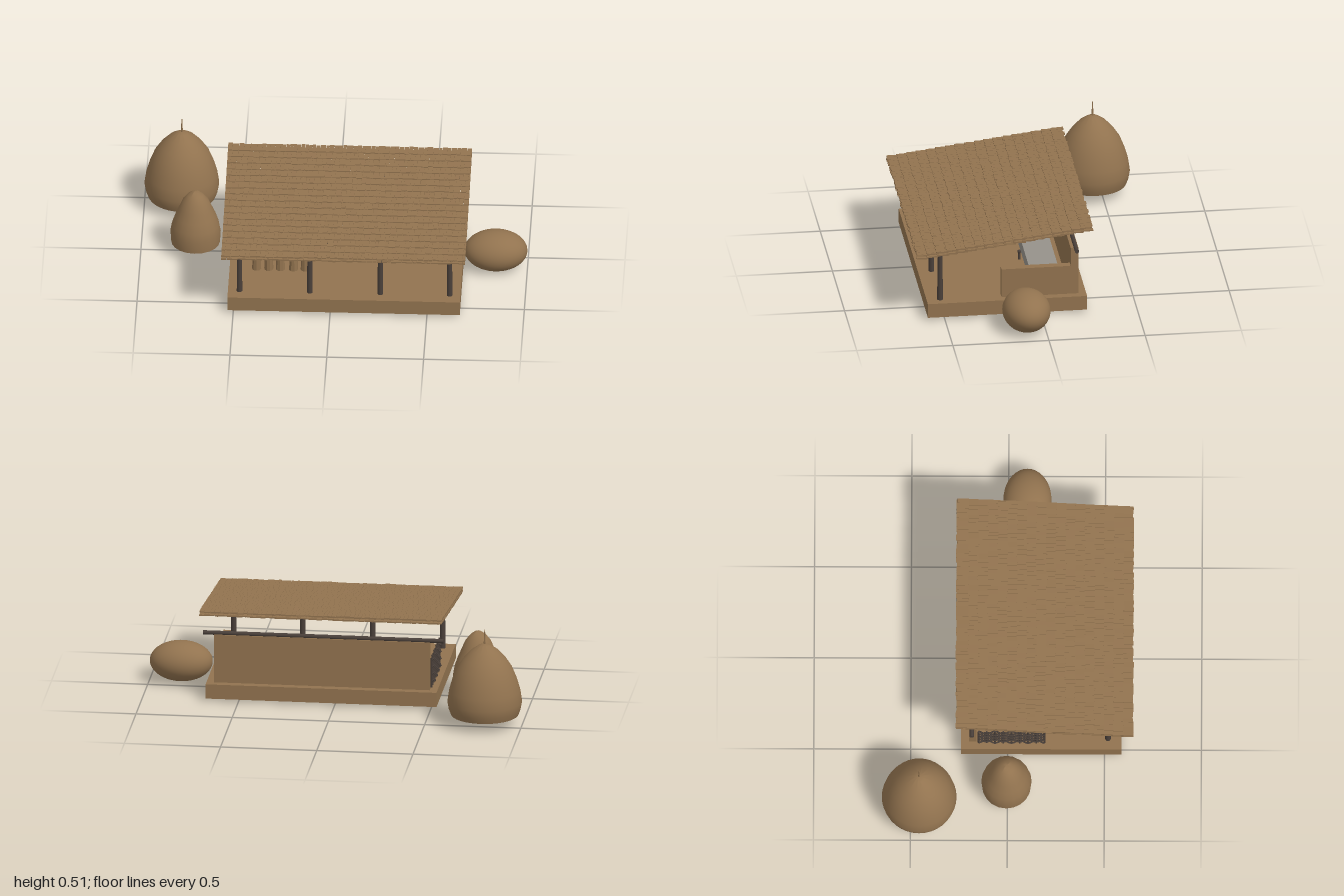
import * as THREE from 'three';
import { mergeGeometries, toCreasedNormals } from 'three/addons/utils/BufferGeometryUtils.js';

const material = (name, color) => Object.assign(new THREE.MeshStandardMaterial({ color }), { name });

export function createModel() {
  const model = new THREE.Group();
  model.name = 'thatchedShelter';
  const brown = material('clay and wood brown', 0x92734f);
  const dark = material('dark timber', 0x4a403a);
  const grey = material('grey stone', 0x96928a);

  let seed = 7;
  const random = () => (seed = (seed * 16807) % 2147483647) / 2147483647;

  const add = (name, geometry, mat, x = 0, y = 0, z = 0) => {
    const mesh = new THREE.Mesh(geometry, mat);
    mesh.name = name;
    mesh.position.set(x, y, z);
    model.add(mesh);
    return mesh;
  };
  // Box given by its limits on each axis
  const block = (name, mat, [x0, x1], [y0, y1], [z0, z1]) =>
    add(name, new THREE.BoxGeometry(x1 - x0, y1 - y0, z1 - z0), mat,
      (x0 + x1) / 2, (y0 + y1) / 2, (z0 + z1) / 2);
  // Pole along x
  const pole = (name, x0, x1, y, z, r) => {
    add(name, new THREE.CylinderGeometry(r, r, x1 - x0, 10), dark, (x0 + x1) / 2, y, z).rotation.z = Math.PI / 2;
  };

  // Platform and walls
  block('platform', brown, [-0.53, 0.67], [0.016, 0.093], [-0.24, 0.588]);
  block('backWall', brown, [-0.49, 0.63], [0.093, 0.35], [-0.2, -0.16]);
  block('rightWall', brown, [0.59, 0.63], [0.093, 0.25], [-0.16, 0.2]);
  pole('wallLog', -0.56, 0.69, 0.357, -0.185, 0.011);

  // Woven fence on the left side: stakes with strands passing in and out
  for (let i = 0; i < 9; i++) {
    add('fenceStake', new THREE.CylinderGeometry(0.005, 0.005, 0.16, 6), dark, -0.494, 0.173, -0.15 + i * 0.0425);
  }
  for (let row = 0; row < 8; row++) {
    const points = [];
    for (let i = 0; i < 9; i++) {
      points.push(new THREE.Vector3(-0.494 + ((i + row) % 2 ? 0.008 : -0.008), 0.105 + row * 0.019, -0.15 + i * 0.0425));
    }
    add('fenceStrand', new THREE.TubeGeometry(new THREE.CatmullRomCurve3(points), 32, 0.005, 5), dark);
  }

  // Forked front posts and the beam they carry
  for (const x of [-0.47, -0.107, 0.257, 0.615]) {
    add('frontPost', new THREE.CylinderGeometry(0.013, 0.015, 0.267, 10), dark, x, 0.2265, 0.518);
    for (const side of [-1, 1]) {
      add('postFork', new THREE.CylinderGeometry(0.005, 0.007, 0.035, 6), dark, x, 0.368, 0.518 + side * 0.008)
        .rotation.x = side * 0.45;
    }
  }
  pole('frontBeam', -0.5, 0.645, 0.372, 0.518, 0.007);

  // Sloping roof made of two layers of overlapping wooden shakes
  const rows = 18;
  ['lowerShakes', 'upperShakes'].forEach((name, layer) => {
    const shakes = [];
    for (let row = 0; row < rows; row++) {
      const t = (row + 0.5) / rows;
      let x = -0.56;
      while (x < 0.699) {
        let width = Math.min(0.017 + random() * 0.017, 0.7 - x);
        if (0.7 - x - width < 0.008) width = 0.7 - x;
        const length = 0.058 + random() * 0.008;
        const shake = new THREE.BoxGeometry(width - 0.0012, 0.006 + random() * 0.003, length);
        shake.rotateX(0.132 - 0.08 - random() * 0.06);
        shake.translate(x + width / 2, 0.494 - 0.115 * t - (1 - layer) * 0.016, -0.26 + 0.9 * t + (random() - 0.5) * 0.006);
        shakes.push(shake);
        x += width;
      }
    }
    add(name, mergeGeometries(shakes), brown);
  });

  // Row of upright stumps
  [[-0.39, 0.097], [-0.328, 0.105], [-0.267, 0.098], [-0.2, 0.106], [-0.139, 0.095]].forEach(([x, h], i) => {
    const stump = new THREE.CylinderGeometry(0.021, 0.024, h, 9).toNonIndexed();
    stump.computeVertexNormals();
    add('stump', stump, brown, x, 0.093 + h / 2, 0.3).rotation.y = i;
  });

  // Low stone bench with small taps along its front
  block('stoneBench', grey, [-0.15, 0.49], [0.093, 0.16], [-0.12, 0.03]);
  for (const x of [-0.03, 0.17, 0.37]) {
    add('peg', new THREE.CylinderGeometry(0.006, 0.007, 0.045, 8), dark, x, 0.1155, 0.05);
    add('pegHead', new THREE.SphereGeometry(0.01, 10, 8), dark, x, 0.136, 0.05);
  }

  // Domed huts
  const hut = (name, profile, sides, x, z) => {
    const lathe = new THREE.LatheGeometry(profile.map(([r, y]) => new THREE.Vector2(r, y)), sides);
    add(name, toCreasedNormals(lathe, 0.7), brown, x, 0, z);
  };
  hut('largeHut', [[0, 0.06], [0.175, 0.06], [0.186, 0.09], [0.193, 0.13], [0.184, 0.19], [0.167, 0.25],
    [0.143, 0.31], [0.11, 0.36], [0.07, 0.404], [0.03, 0.432], [0, 0.442]], 36, -0.807, -0.455);
  add('hutSpire', new THREE.CylinderGeometry(0.002, 0.006, 0.085, 8), brown, -0.807, 0.4735, -0.455);
  hut('smallHut', [[0, 0.06], [0.126, 0.06], [0.13, 0.125], [0.122, 0.17], [0.105, 0.22], [0.085, 0.265],
    [0.066, 0.31], [0.04, 0.342], [0.015, 0.36], [0, 0.365]], 20, -0.718, -0.005);

  // Egg-shaped boulder on the right
  add('boulder', new THREE.SphereGeometry(1, 36, 24), brown, 0.837, 0.108, 0.097).scale.set(0.163, 0.105, 0.124);

  return model;
}
